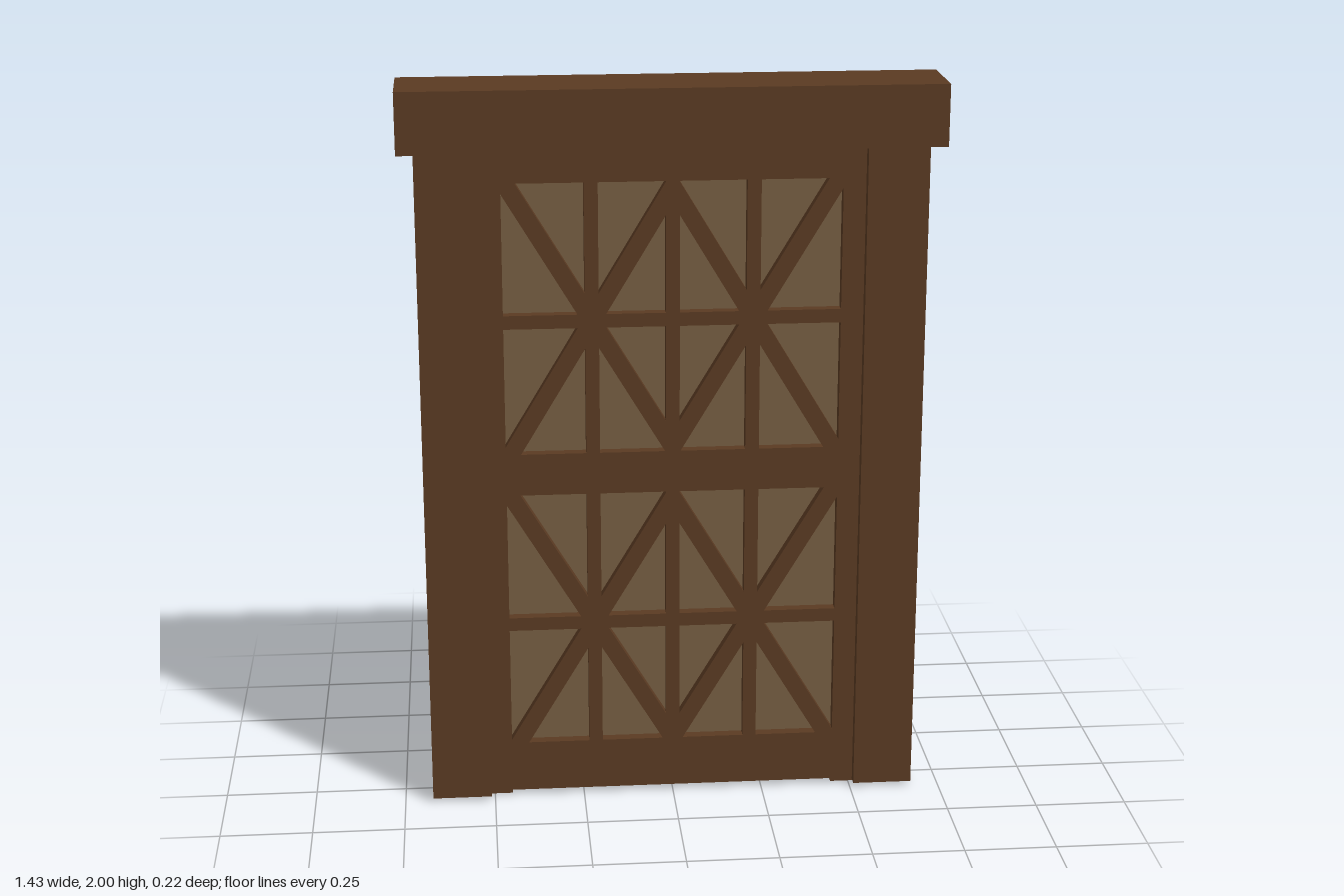
import * as THREE from 'three';

const wood = new THREE.MeshStandardMaterial({ color: 0x5a3a22 });
wood.name = 'dark wood';
const paper = new THREE.MeshStandardMaterial({ color: 0x755d42 });
paper.name = 'tan paper';

// Box given by its minimum and maximum corners
function block(name, material, [x0, y0, z0], [x1, y1, z1]) {
  const mesh = new THREE.Mesh(new THREE.BoxGeometry(x1 - x0, y1 - y0, z1 - z0), material);
  mesh.position.set((x0 + x1) / 2, (y0 + y1) / 2, (z0 + z1) / 2);
  mesh.name = name;
  return mesh;
}

// Keep the part of a polygon where side(point) is positive
function clip(points, side) {
  const out = [];
  points.forEach((a, i) => {
    const b = points[(i + 1) % points.length];
    const da = side(a), db = side(b);
    if (da >= 0) out.push(a);
    if (da * db < 0) out.push(a.clone().lerp(b, da / (da - db)));
  });
  return out;
}

// Openwork screen: four star-shaped groups of openings cut from one board
function latticeGeometry() {
  const board = new THREE.Shape([
    new THREE.Vector2(-0.51, 0.015), new THREE.Vector2(0.51, 0.015),
    new THREE.Vector2(0.51, 1.835), new THREE.Vector2(-0.51, 1.835),
  ]);
  const rows = [
    { low: 0.159, mid: 0.515, high: 0.89 },
    { low: 1.006, mid: 1.374, high: 1.748 },
  ];
  const bar = 0.0185, strut = 0.023;
  for (const { low, mid, high } of rows) {
    for (const cx of [-0.215, 0.215]) {
      for (const sx of [-1, 1]) {
        for (const sy of [-1, 1]) {
          const outerX = sx * cx > 0 ? Math.sign(cx) * 0.45 : Math.sign(cx) * 0.0185;
          const innerX = cx + sx * bar;
          const innerY = mid + sy * bar;
          const outerY = sy > 0 ? high : low;
          const cell = [
            new THREE.Vector2(innerX, innerY), new THREE.Vector2(outerX, innerY),
            new THREE.Vector2(outerX, outerY), new THREE.Vector2(innerX, outerY),
          ];
          // Signed distance from the diagonal strut
          const dir = new THREE.Vector2(sx * 0.215, sy * 0.358).normalize();
          const dist = (p) => (p.x - cx) * dir.y - (p.y - mid) * dir.x;
          for (const s of [-1, 1]) {
            board.holes.push(new THREE.Path(clip(cell, (p) => s * dist(p) - strut)));
          }
        }
      }
    }
  }
  return new THREE.ExtrudeGeometry(board, { depth: 0.03, bevelEnabled: false });
}

export function createModel() {
  const model = new THREE.Group();
  model.name = 'latticeDoor';

  // Frame
  model.add(block('lintel', wood, [-0.717, 1.835, -0.108], [0.717, 2, 0.108]));
  model.add(block('rightPost', wood, [-0.673, 0.011, -0.088], [-0.51, 1.835, 0.091]));
  model.add(block('leftPost', wood, [0.51, 0.011, -0.088], [0.673, 1.835, 0.091]));

  // Small feet under the posts
  model.add(block('rightFoot', wood, [-0.6, 0, -0.04], [-0.45, 0.011, 0.05]));
  model.add(block('leftFoot', wood, [0.45, 0, -0.04], [0.64, 0.011, 0.05]));

  // Door panel: lattice in front of a solid backing
  const lattice = new THREE.Mesh(latticeGeometry(), wood);
  lattice.position.z = 0.032;
  lattice.name = 'lattice';
  model.add(lattice);
  model.add(block('backing', paper, [-0.51, 0.008, -0.04], [0.51, 1.835, 0.032]));

  return model;
}
